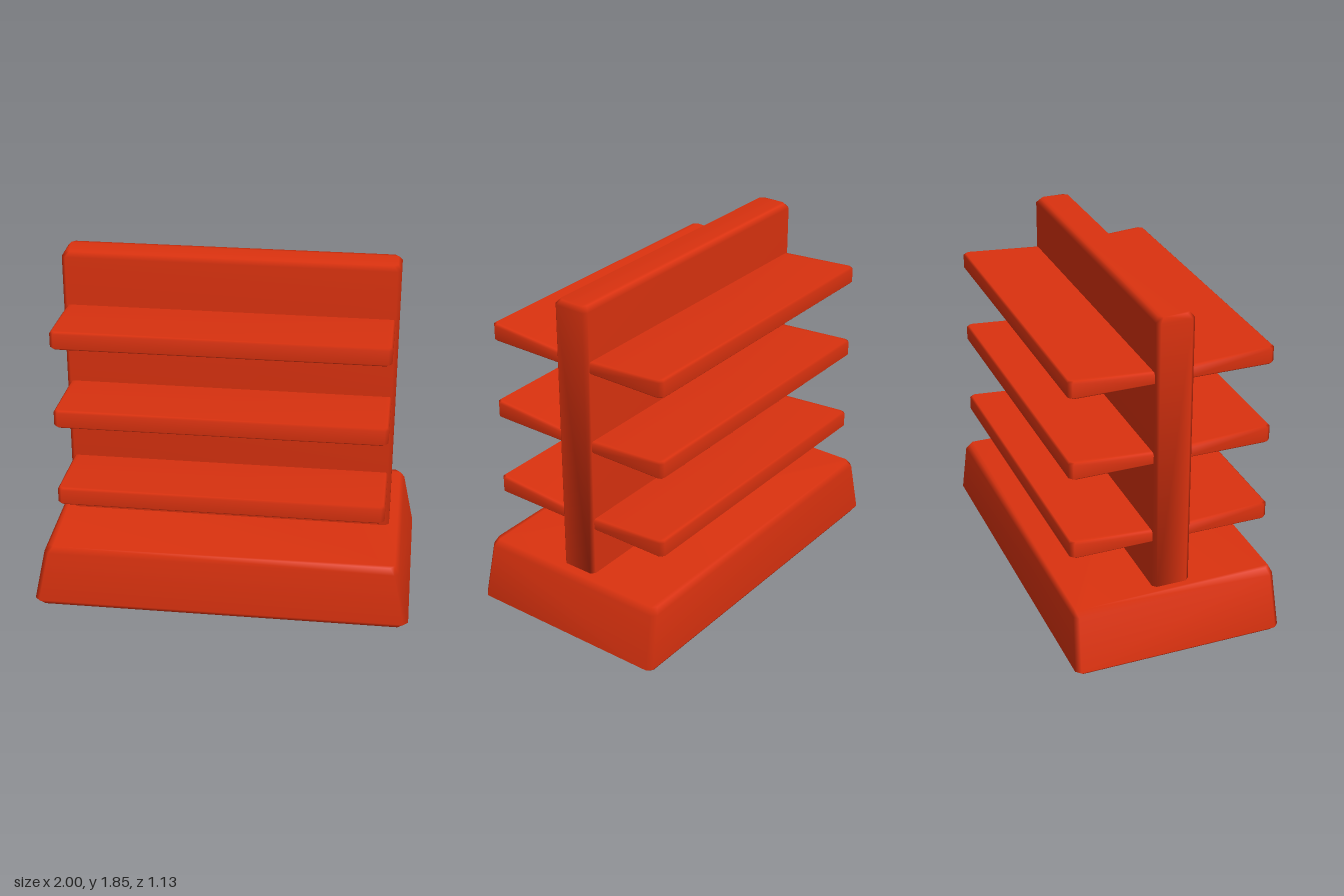
import * as THREE from 'three';
import { ConvexGeometry } from 'three/addons/geometries/ConvexGeometry.js';
import { mergeVertices } from 'three/addons/utils/BufferGeometryUtils.js';

// Bevelled block from horizontal sections [y, halfX, halfZ], each with cut corners;
// an optional rule moves every point. Normals run smoothly over the bevels.
function bevelledBlock(sections, cut, rule = (p) => p) {
  const points = [];
  for (const [y, hx, hz] of sections) {
    for (const sx of [-1, 1]) {
      for (const sz of [-1, 1]) {
        points.push(rule(new THREE.Vector3(sx * (hx - cut), y, sz * hz)));
        points.push(rule(new THREE.Vector3(sx * hx, y, sz * (hz - cut))));
      }
    }
  }
  const hull = new ConvexGeometry(points);
  hull.deleteAttribute('normal');
  const geometry = mergeVertices(hull, 1e-4);
  geometry.computeVertexNormals();
  return geometry;
}

export function createModel() {
  const model = new THREE.Group();
  model.name = 'displayShelf';

  const red = new THREE.MeshStandardMaterial({ color: 0xdb320f });
  red.name = 'red';

  const add = (name, geometry) => {
    const mesh = new THREE.Mesh(geometry, red);
    mesh.name = name;
    model.add(mesh);
    return mesh;
  };

  // Tapered plinth
  add('base', bevelledBlock([
    [0, 0.97, 0.545],
    [0.03, 1.0, 0.565],
    [0.32, 0.94, 0.55],
    [0.355, 0.915, 0.535],
  ], 0.025));

  // Upright central panel
  add('panel', bevelledBlock([
    [0.33, 0.87, 0.1],
    [1.825, 0.87, 0.1],
    [1.85, 0.85, 0.08],
  ], 0.02));

  // Shelves: flat underneath, top rising towards the outer lip
  const outer = 0.535, inner = 0.05;
  const centre = (outer + inner) / 2, half = (outer - inner) / 2;
  const shelf = bevelledBlock([
    [0, 0.84, half - 0.01],
    [0.01, 0.85, half],
    [0.055, 0.85, half],
    [0.065, 0.84, half - 0.01],
  ], 0.02, (p) => {
    p.z += centre;
    if (p.y > 0.03) p.y += 0.03 * (p.z - 0.1) / (outer - 0.1);
    return p;
  });

  [0.615, 1.063, 1.5].forEach((y, i) => {
    for (const side of ['front', 'back']) {
      const mesh = add(`${side}Shelf${i + 1}`, shelf);
      mesh.position.y = y;
      if (side === 'back') mesh.rotation.y = Math.PI;
    }
  });

  return model;
}
